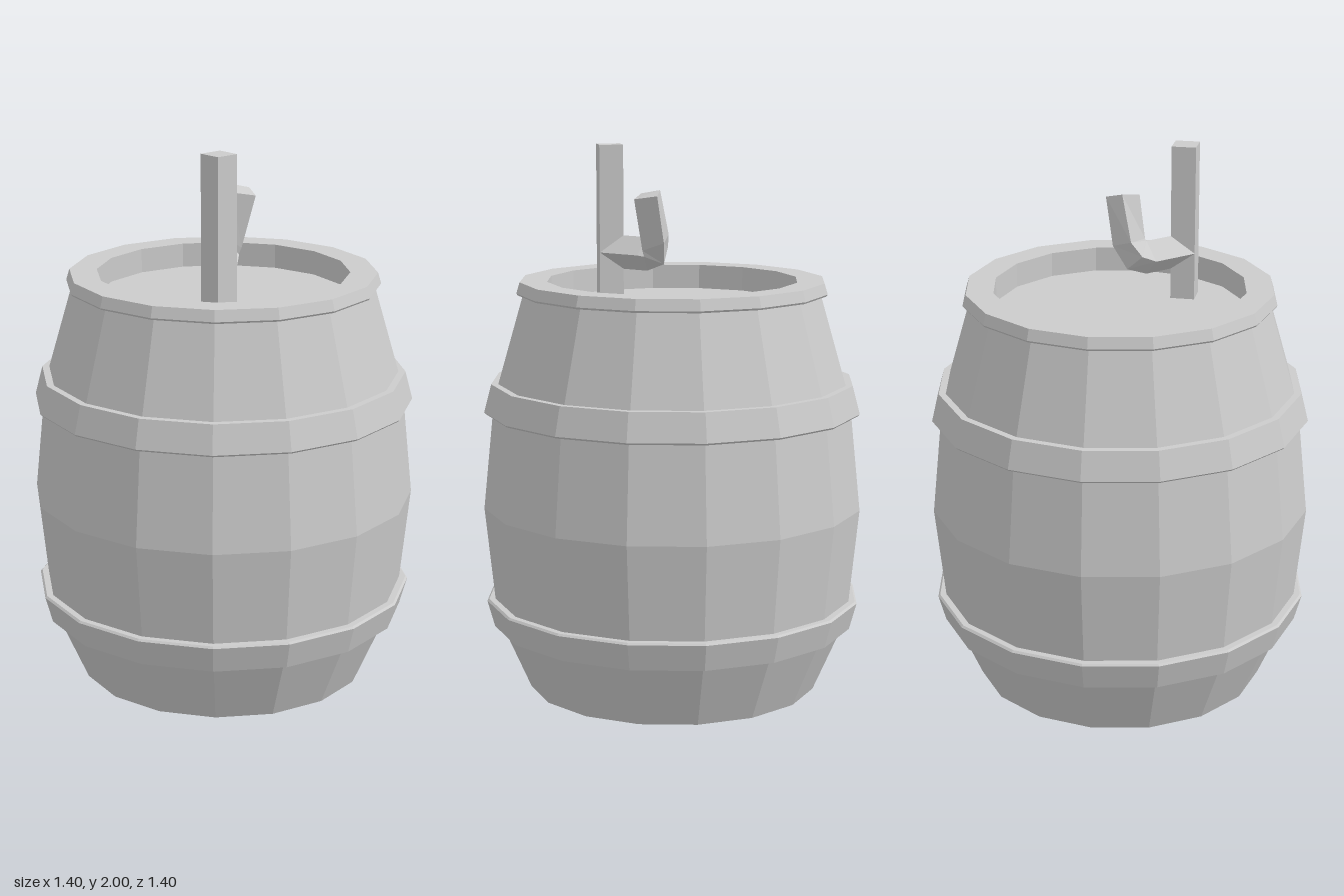
import * as THREE from 'three';

const SIDES = 16;
const material = new THREE.MeshStandardMaterial({ color: 0xcccccc, flatShading: true });

function part(name, geometry) {
  const mesh = new THREE.Mesh(geometry, material);
  mesh.name = name;
  return mesh;
}

// Faceted ring or solid from [radius, height] pairs, listed bottom to top on the outside
function turned(name, profile) {
  const points = profile.map(([r, y]) => new THREE.Vector2(r, y));
  return part(name, new THREE.LatheGeometry(points, SIDES));
}

// Skin a list of four-cornered sections and cap the last one
function skin(sections) {
  const n = sections[0].length;
  const index = [];
  for (let i = 0; i < sections.length - 1; i++) {
    for (let j = 0; j < n; j++) {
      const a = i * n + j, b = i * n + (j + 1) % n;
      index.push(a, b, a + n, b, b + n, a + n);
    }
  }
  const e = (sections.length - 1) * n;
  index.push(e, e + 1, e + 2, e, e + 2, e + 3);
  const geometry = new THREE.BufferGeometry();
  geometry.setAttribute('position', new THREE.Float32BufferAttribute(sections.flat(2), 3));
  geometry.setIndex(index);
  geometry.computeVertexNormals();
  return geometry;
}

export function createModel() {
  const model = new THREE.Group();
  model.name = 'barrel';

  // Bulging staves with a flat base and a recessed lid
  model.add(turned('staves', [
    [0, 0], [0.535, 0], [0.64, 0.24], [0.664, 0.34], [0.7, 0.69], [0.664, 1.04],
    [0.642, 1.15], [0.548, 1.475], [0.548, 1.515], [0.46, 1.515], [0.46, 1.43], [0, 1.43],
  ]));

  // Hoops
  model.add(turned('lowerHoop', [
    [0.63, 0.24], [0.668, 0.24], [0.695, 0.338], [0.688, 0.345], [0.65, 0.345],
  ]));
  model.add(turned('upperHoop', [
    [0.65, 1.04], [0.688, 1.04], [0.695, 1.047], [0.668, 1.15], [0.63, 1.15],
  ]));
  model.add(turned('topRim', [
    [0.54, 1.473], [0.567, 1.473], [0.572, 1.48], [0.56, 1.52], [0.46, 1.52], [0.46, 1.475],
  ]));

  // Upright square post, set corner-on
  const post = part('post', new THREE.CylinderGeometry(0.0625, 0.0625, 0.57, 4));
  post.position.set(0, 1.715, 0.285);
  model.add(post);

  // Bent spout: runs back from the post, then turns up and leans sideways
  const ring = (z) => [[-0.0625, 1.605, z], [0, 1.667, z], [0.0625, 1.605, z], [0, 1.543, z]];
  model.add(part('spout', skin([
    ring(0.285),
    ring(0.115),
    [[-0.055, 1.63, 0.06], [0.002, 1.668, 0.113], [0.06, 1.602, 0.085], [0.005, 1.573, 0.035]],
    [[-0.022, 1.68, 0.033], [0.006, 1.675, 0.113], [0.07, 1.625, 0.085], [0.05, 1.655, 0.003]],
    [[0.033, 1.845, 0.032], [0.04, 1.83, 0.112], [0.12, 1.815, 0.085], [0.093, 1.828, 0.002]],
  ])));

  return model;
}
